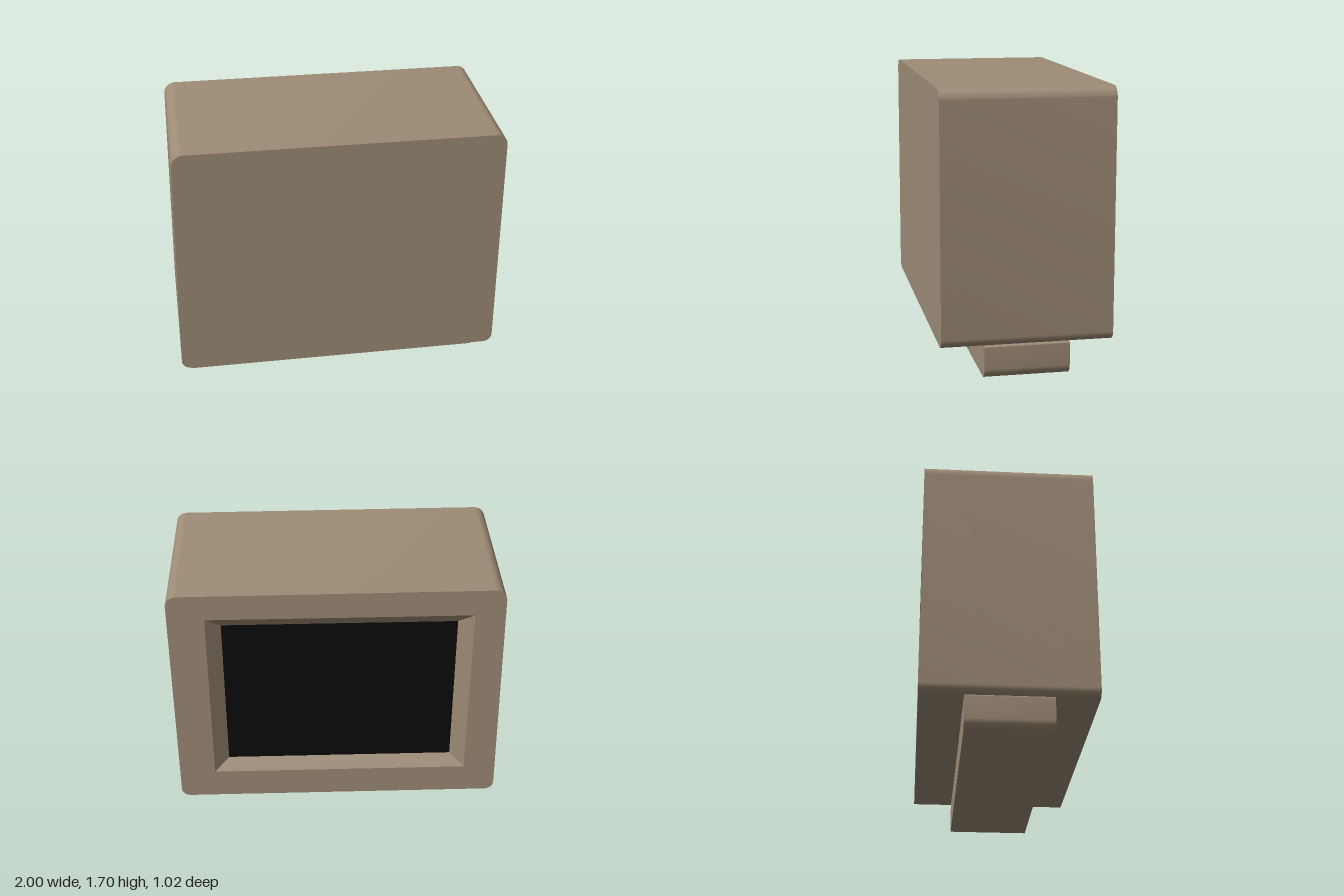
import * as THREE from 'three';
import { mergeGeometries, toCreasedNormals } from 'three/addons/utils/BufferGeometryUtils.js';

const BACK = -0.51, FRONT = 0.51, RECESS = 0.055;

// Polygon with each corner [x, y, radius] softened by a curve.
function roundedShape(corners) {
  const shape = new THREE.Shape();
  const n = corners.length;
  corners.forEach(([x, y, r], i) => {
    const c = new THREE.Vector2(x, y);
    const towards = ([px, py]) => {
      const d = new THREE.Vector2(px, py).sub(c);
      return d.setLength(r).add(c);
    };
    const a = towards(corners[(i + n - 1) % n]);
    const b = towards(corners[(i + 1) % n]);
    if (i === 0) shape.moveTo(a.x, a.y);
    else shape.lineTo(a.x, a.y);
    // cubic close to a circular arc
    const k = 0.55;
    const p = a.clone().lerp(c, k), q = b.clone().lerp(c, k);
    shape.bezierCurveTo(p.x, p.y, q.x, q.y, b.x, b.y);
  });
  shape.closePath();
  return shape;
}

// Strip of quads joining two rings of points, each at its own depth.
function loft(ringA, zA, ringB, zB) {
  const pos = [];
  ringA.forEach((a, i) => {
    const j = (i + 1) % ringA.length;
    const a2 = ringA[j], b = ringB[i], b2 = ringB[j];
    pos.push(a.x, a.y, zA, a2.x, a2.y, zA, b2.x, b2.y, zB);
    pos.push(a.x, a.y, zA, b2.x, b2.y, zB, b.x, b.y, zB);
  });
  const geo = new THREE.BufferGeometry();
  geo.setAttribute('position', new THREE.Float32BufferAttribute(pos, 3));
  geo.computeVertexNormals();
  return geo;
}

// Flat panel at depth z, facing +z or, when flipped, -z.
function panel(shape, z, flip) {
  const geo = new THREE.ShapeGeometry(shape, 10);
  if (flip) geo.setIndex(Array.from(geo.index.array).reverse());
  geo.translate(0, 0, z);
  geo.deleteAttribute('uv');
  geo.computeVertexNormals();
  return geo.toNonIndexed();
}

const rect = (x0, y0, x1, y1) =>
  [[x0, y0], [x1, y0], [x1, y1], [x0, y1]].map(([x, y]) => new THREE.Vector2(x, y));

export function createModel() {
  const group = new THREE.Group();
  const shell = new THREE.MeshStandardMaterial({ color: 0x9e8c76 });
  const black = new THREE.MeshStandardMaterial({ color: 0x0a0a0a });
  const add = (name, geo, mat) => {
    const mesh = new THREE.Mesh(geo, mat);
    mesh.name = name;
    group.add(mesh);
  };

  // Casing: slightly leaning rounded block with an opening in the back
  const corners = [[-1, 0.2, 0.055], [1, 0.2, 0.055], [1, 1.695, 0.065], [-0.978, 1.703, 0.07]];
  const outline = roundedShape(corners);
  const ring = outline.getPoints(10).filter((p, i, all) => i === 0 || p.distanceTo(all[i - 1]) > 1e-5);
  if (ring[0].distanceTo(ring[ring.length - 1]) < 1e-5) ring.pop();
  const opening = rect(-0.8, 0.39, 0.78, 1.535);
  const glass = rect(-0.71, 0.463, 0.69, 1.462);
  const backShape = roundedShape(corners);
  backShape.holes.push(new THREE.Path(opening));
  const casing = mergeGeometries([
    loft(ring, BACK, ring, FRONT),
    panel(outline, FRONT, false),
    panel(backShape, BACK, true),
  ]);
  add('casing', toCreasedNormals(casing, 0.6), shell);

  // Sloping frame around the screen
  add('screenFrame', loft(glass, BACK + RECESS, opening, BACK), shell);

  // Screen
  add('screen', panel(new THREE.Shape(glass), BACK + RECESS, true), black);

  // Foot
  const footShape = roundedShape([[-0.98, 0, 0.06], [0.98, 0, 0.06], [0.98, 0.2, 0.008], [-0.98, 0.2, 0.008]]);
  const foot = new THREE.ExtrudeGeometry(footShape, { depth: 0.51, bevelEnabled: false, curveSegments: 10 });
  foot.translate(0, 0, -0.255);
  add('foot', toCreasedNormals(foot, 0.6), shell);

  return group;
}
